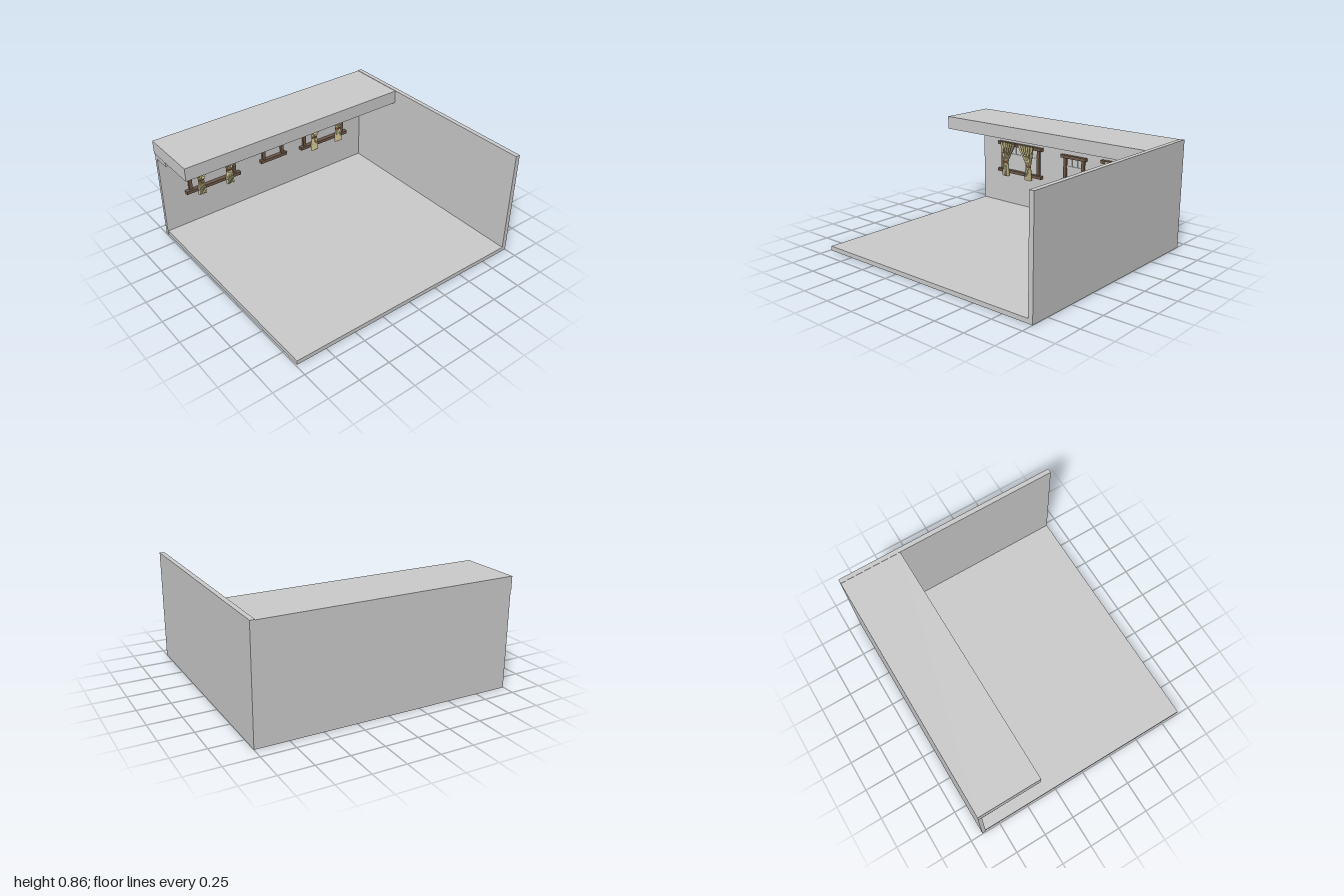
import * as THREE from 'three';

const grey = new THREE.MeshStandardMaterial({ color: 0xcccccc });
const wood = new THREE.MeshStandardMaterial({ color: 0x6f5a48 });
const cloth = new THREE.MeshStandardMaterial({ color: 0xc9be8e, side: THREE.DoubleSide });
const tieCloth = new THREE.MeshStandardMaterial({ color: 0x9a5a44 });

// Box given by its extents on each axis
function box(name, material, [x0, x1], [y0, y1], [z0, z1]) {
  const mesh = new THREE.Mesh(new THREE.BoxGeometry(x1 - x0, y1 - y0, z1 - z0), material);
  mesh.position.set((x0 + x1) / 2, (y0 + y1) / 2, (z0 + z1) / 2);
  mesh.name = name;
  return mesh;
}

const WALL = -0.87; // inner face of the side wall

// Wooden window frame with a sash bar and two glazing bars, centred on z
function createWindow(z, { half, post, bottom, top, bar, depth }) {
  const g = new THREE.Group();
  g.name = 'window';
  const rail = 0.026;
  g.add(box('lintel', wood, [WALL, WALL + depth], [top - rail, top], [-half, half]));
  g.add(box('sill', wood, [WALL, WALL + depth], [bottom, bottom + rail], [-half, half]));
  for (const s of [-1, 1]) {
    g.add(box('windowPost', wood, [WALL, WALL + 0.018], [bottom + rail, top - rail],
      [s * post - 0.014, s * post + 0.014]));
    const m = s * post * 0.31;
    g.add(box('glazingBar', grey, [WALL, WALL + 0.006], [bar, top - rail], [m - 0.004, m + 0.004]));
  }
  g.add(box('sashBar', grey, [WALL, WALL + 0.008], [bar - 0.006, bar + 0.006], [-post, post]));
  g.position.z = z;
  return g;
}

// Curtain profile: height, inner edge, outer edge, fold depth
const CURTAIN_ROWS = [
  [0.605, 0.019, 0.180, 0.019],
  [0.56, 0.040, 0.176, 0.017],
  [0.52, 0.063, 0.170, 0.014],
  [0.48, 0.085, 0.163, 0.012],
  [0.45, 0.098, 0.157, 0.010],
  [0.428, 0.104, 0.152, 0.008],
  [0.40, 0.101, 0.155, 0.010],
  [0.35, 0.097, 0.159, 0.013],
  [0.30, 0.096, 0.161, 0.014],
];

// Pleated cloth drawn together at the tie; side is +1 or -1
function createCurtain(side) {
  const g = new THREE.Group();
  g.name = 'curtain';
  const folds = 6, steps = folds * 8, position = [], index = [];
  CURTAIN_ROWS.forEach(([y, inner, outer, depth], r) => {
    for (let i = 0; i <= steps; i++) {
      const t = i / steps;
      position.push(-0.813 + depth * Math.cos(t * folds * Math.PI * 2),
        y, side * THREE.MathUtils.lerp(inner, outer, t));
      if (r && i) {
        const d = r * (steps + 1) + i, c = d - 1, b = d - steps - 1, a = b - 1;
        if (side > 0) index.push(a, b, c, b, d, c);
        else index.push(a, c, b, b, c, d);
      }
    }
  });
  const geometry = new THREE.BufferGeometry();
  geometry.setAttribute('position', new THREE.Float32BufferAttribute(position, 3));
  geometry.setIndex(index);
  geometry.computeVertexNormals();
  const drape = new THREE.Mesh(geometry, cloth);
  drape.name = 'drape';
  // Band around the gathered cloth
  const tie = new THREE.Mesh(new THREE.CylinderGeometry(1, 1, 0.012, 20), tieCloth);
  tie.scale.set(0.011, 1, 0.026);
  tie.position.set(-0.813, 0.428, side * 0.128);
  tie.name = 'curtainTie';
  g.add(drape, tie);
  return g;
}

export function createModel() {
  const model = new THREE.Group();
  model.name = 'room';

  // Shell
  model.add(
    box('floor', grey, [-0.9, 0.9], [0, 0.035], [-1, 0.99]),
    box('backWall', grey, [-0.9, 0.9], [0, 0.86], [-1, -0.963]),
    box('sideWall', grey, [-0.9, WALL], [0, 0.75], [-0.99, 0.995]),
    box('ceiling', grey, [-0.9, -0.41], [0.75, 0.857], [-0.97, 1]),
    box('ceilingStep', grey, [WALL, -0.735], [0.71, 0.75], [-0.97, 0.995]),
  );

  // Two wide windows with curtains
  for (const z of [0.557, -0.547]) {
    const wide = createWindow(z, { half: 0.247, post: 0.201, bottom: 0.323, top: 0.598, bar: 0.49, depth: 0.035 });
    wide.add(createCurtain(1), createCurtain(-1));
    model.add(wide);
  }

  // Small window between them
  model.add(createWindow(-0.023, { half: 0.128, post: 0.092, bottom: 0.341, top: 0.583, bar: 0.48, depth: 0.033 }));

  return model;
}
